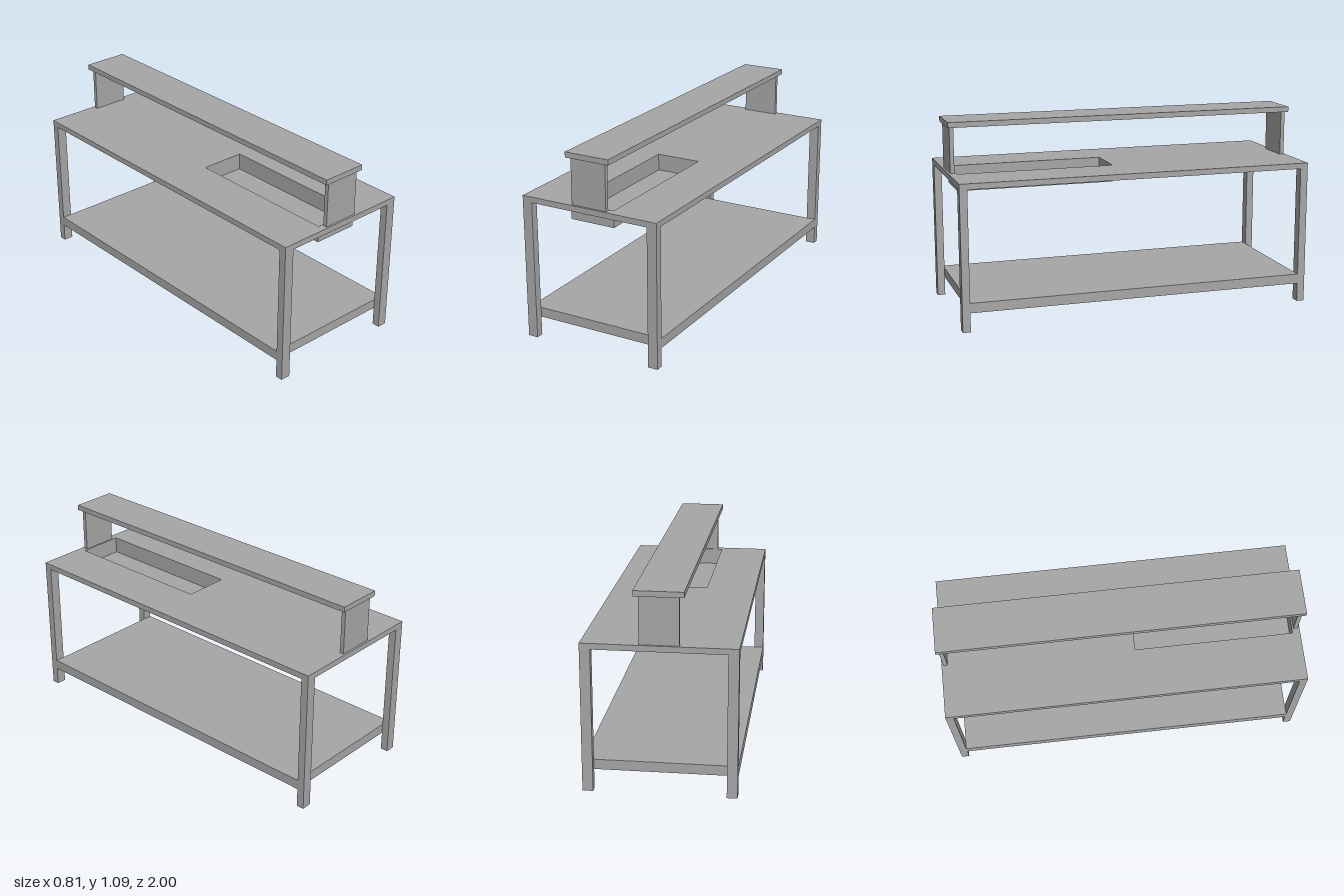
import * as THREE from 'three';

export function createModel() {
  const group = new THREE.Group();
  const grey = new THREE.MeshStandardMaterial({ color: 0xa6a6a6 });
  grey.name = 'grey metal';
  grey.side = THREE.DoubleSide;

  const W = 0.405, L = 1;              // half width and half length
  const legW = 0.056, legD = 0.043;    // leg section
  const topLow = 0.778, topHigh = 0.81;
  const basin = { w: 0.129, z0: 0.074, z1: 0.957, floor: 0.716 };

  const add = (name, geometry) => {
    const mesh = new THREE.Mesh(geometry, grey);
    mesh.name = name;
    group.add(mesh);
    return mesh;
  };
  // Box given by its minimum and maximum corners
  const box = (name, x0, x1, y0, y1, z0, z1) => {
    const mesh = add(name, new THREE.BoxGeometry(x1 - x0, y1 - y0, z1 - z0));
    mesh.position.set((x0 + x1) / 2, (y0 + y1) / 2, (z0 + z1) / 2);
    return mesh;
  };
  const rectangle = (path, x0, x1, y0, y1) =>
    path.moveTo(x0, y0).lineTo(x1, y0).lineTo(x1, y1).lineTo(x0, y1).closePath();

  // Four legs
  for (const sx of [-1, 1]) for (const sz of [-1, 1]) {
    const leg = box('leg', -legW / 2, legW / 2, 0, topLow, -legD / 2, legD / 2);
    leg.position.x = sx * (W - legW / 2);
    leg.position.z = sz * (L - legD / 2);
  }

  // Lower shelf, fitted between the front and back legs
  box('lowerShelf', -W, W, 0.106, 0.161, -L + legD, L - legD);

  // Worktop with the basin opening (shape y becomes -z)
  const top = new THREE.Shape();
  rectangle(top, -W, W, -L, L);
  const opening = new THREE.Path();
  rectangle(opening, -basin.w, basin.w, -basin.z1, -basin.z0);
  top.holes.push(opening);
  const topGeometry = new THREE.ExtrudeGeometry(top, { depth: topHigh - topLow, bevelEnabled: false });
  topGeometry.rotateX(-Math.PI / 2);
  add('worktop', topGeometry).position.y = topLow;

  // Thin basin below the opening: a box without its top face
  const basinMesh = box('basin', -basin.w, basin.w, basin.floor, topLow, basin.z0, basin.z1);
  const index = Array.from(basinMesh.geometry.index.array);
  index.splice(12, 6);
  basinMesh.geometry.setIndex(index);
  basinMesh.geometry.clearGroups();

  // Raised shelf on two upright panels
  for (const s of [-1, 1]) {
    const panel = box('uprightPanel', -0.103, 0.103, topHigh, 1.064, -0.0115, 0.0115);
    panel.position.z = s * 0.9775;
  }
  box('upperShelf', -0.129, 0.129, 1.064, 1.094, -L, L);

  return group;
}
